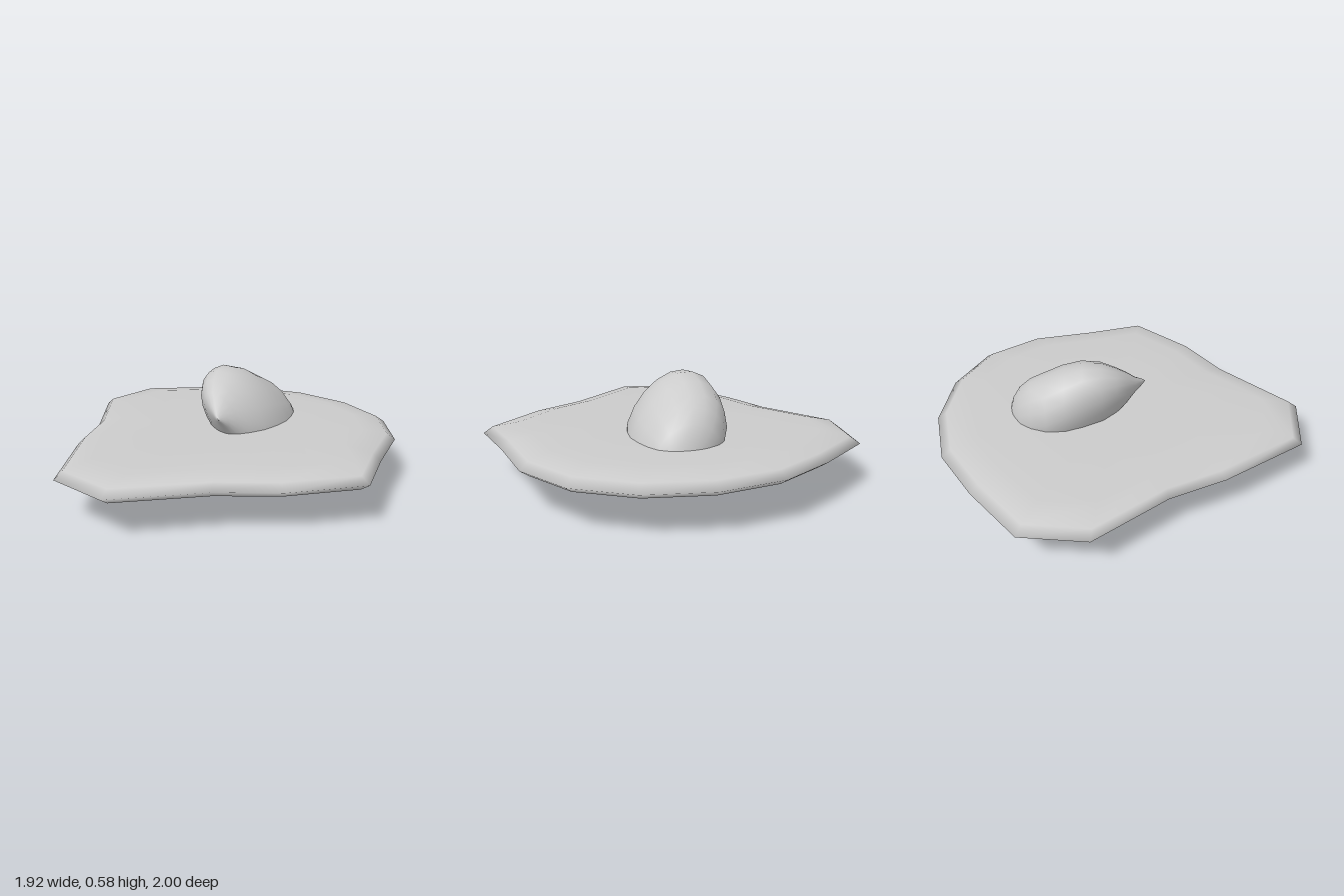
import * as THREE from 'three';

const material = () => new THREE.MeshStandardMaterial({ color: 0xcccccc, side: THREE.DoubleSide });

// Skin a list of closed rings (arrays of [x, y, z]) that all have the same point count
function loft(name, rings) {
  const n = rings[0].length;
  const index = [];
  for (let i = 0; i < rings.length - 1; i++) {
    for (let j = 0; j < n; j++) {
      const k = (j + 1) % n;
      const a = i * n + j, b = i * n + k, c = a + n, d = b + n;
      index.push(a, c, b, b, c, d);
    }
  }
  const geometry = new THREE.BufferGeometry();
  geometry.setAttribute('position', new THREE.Float32BufferAttribute(rings.flat(2), 3));
  geometry.setIndex(index);
  geometry.computeVertexNormals();
  const mesh = new THREE.Mesh(geometry, material());
  mesh.name = name;
  return mesh;
}

// Irregular outline of the slab, as [x, z]
const OUTLINE = [
  [0.035, -1], [0.38, -0.94], [0.665, -0.77], [0.835, -0.49], [0.89, -0.13], [0.96, 0.2],
  [0.665, 0.49], [0.38, 0.66], [0, 1], [-0.34, 0.94], [-0.59, 0.49], [-0.705, 0.19],
  [-0.96, -0.2], [-0.905, -0.54], [-0.6, -0.77], [-0.31, -0.94],
];
const slabRing = ([scale, y]) => OUTLINE.map(([x, z]) => [x * scale, y, z * scale]);

// Slices of the stone: z, left x, right x, bottom y, top y
const SLICES = [
  [0.15, 0.09, 0.09, 0.38, 0.38],
  [0.135, 0.06, 0.1, 0.36, 0.4],
  [0.09, 0, 0.12, 0.315, 0.435],
  [0.04, -0.07, 0.15, 0.25, 0.49],
  [-0.02, -0.13, 0.19, 0.18, 0.535],
  [-0.1, -0.18, 0.24, 0.09, 0.575],
  [-0.2, -0.215, 0.265, 0.035, 0.585],
  [-0.3, -0.23, 0.275, 0.01, 0.555],
  [-0.4, -0.22, 0.265, 0, 0.505],
  [-0.48, -0.18, 0.24, 0.02, 0.46],
  [-0.54, -0.13, 0.21, 0.05, 0.4],
  [-0.58, -0.06, 0.165, 0.095, 0.325],
  [-0.6, 0, 0.1, 0.15, 0.25],
  [-0.602, 0.05, 0.05, 0.2, 0.2],
];
const SIDES = 18;

function stoneRing([z, x0, x1, y0, y1]) {
  const lean = -0.5 - 0.5 * z; // phase shift that tilts each oval toward -x at the top
  return Array.from({ length: SIDES }, (_, j) => {
    const t = (j / SIDES) * Math.PI * 2;
    return [
      (x0 + x1) / 2 + ((x1 - x0) / 2) * Math.cos(t),
      (y0 + y1) / 2 + ((y1 - y0) / 2) * Math.sin(t + lean),
      z,
    ];
  });
}

export function createModel() {
  const model = new THREE.Group();
  model.name = 'stoneInSlab';

  // Shallow shell, open underneath: turned-in rim, bevel and gently domed top
  model.add(loft('slab', [
    [0.95, 0.188], [1, 0.222], [0.95, 0.258], [0.8, 0.283], [0.4, 0.281], [0, 0.28],
  ].map(slabRing)));
  // Leaning egg-shaped stone pushed through the slab
  model.add(loft('stone', SLICES.map(stoneRing)));

  return model;
}
